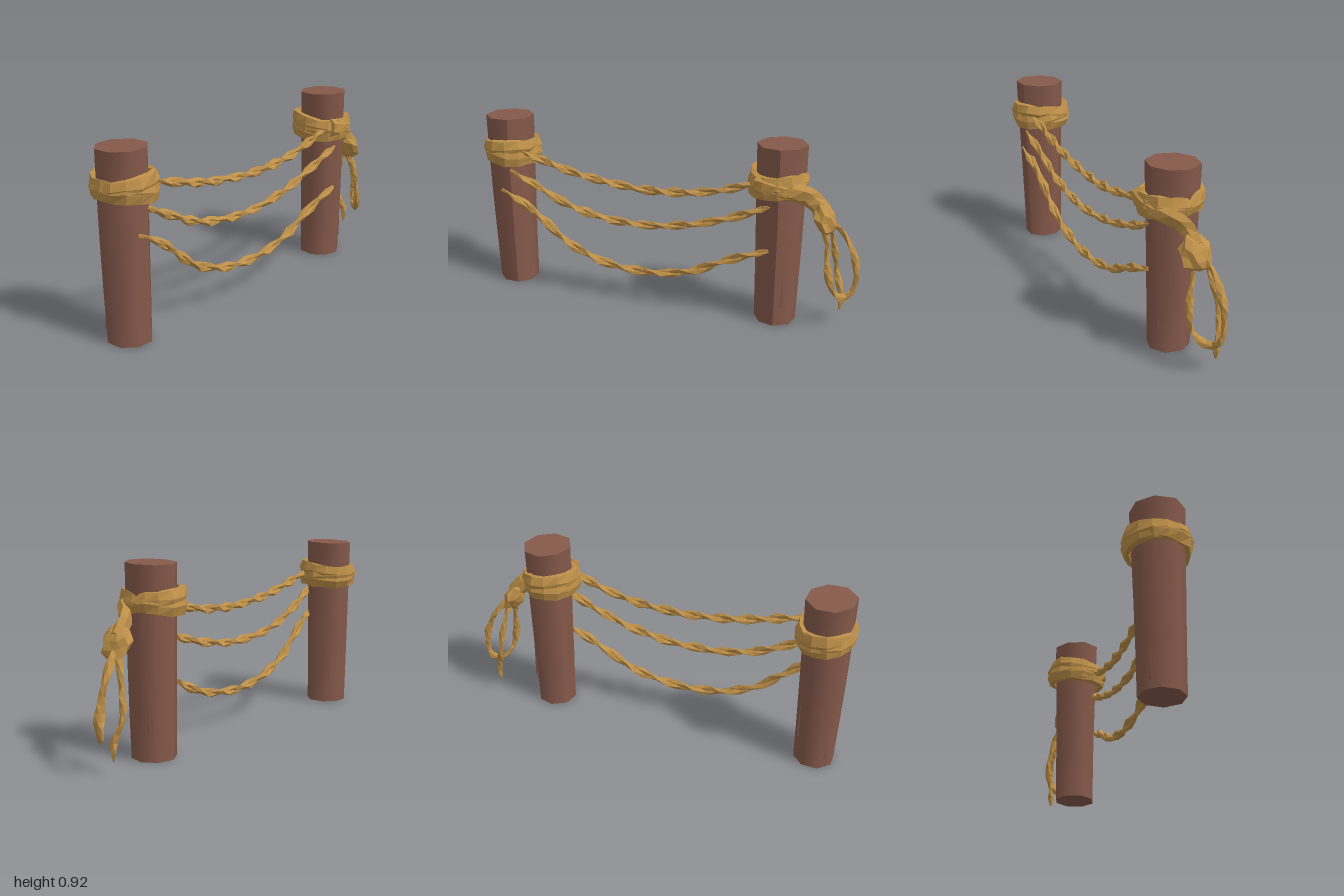
import * as THREE from 'three';

const V = (x, y, z) => new THREE.Vector3(x, y, z);
const spline = (pts, closed = false) => new THREE.CatmullRomCurve3(pts.map(p => V(...p)), closed);

export function createModel() {
  const wood = new THREE.MeshStandardMaterial({ color: 0x85594a });
  wood.name = 'brown wood';
  const hemp = new THREE.MeshStandardMaterial({ color: 0xbd8f48, flatShading: true });
  hemp.name = 'golden rope';

  const model = new THREE.Group();
  let seed = 7;
  const jitter = a => {
    seed = (seed * 16807) % 2147483647;
    return (seed / 2147483647 - 0.5) * 2 * a;
  };
  const add = (parent, geometry, material, name) => {
    const mesh = new THREE.Mesh(geometry, material);
    mesh.name = name;
    parent.add(mesh);
    return mesh;
  };

  // Sweeps an elliptical section along a curve: twists, taper, jitter, and an offset for winding strands
  function sweep(curve, o) {
    const { n, sides = 5, w, h, twists = 0, phase = 0, offset = 0, rough = 0, closed = false, up = V(0, 0, 1), taper = () => 1 } = o;
    const pos = [], index = [], rows = closed ? n : n + 1;
    for (let i = 0; i < rows; i++) {
      const t = i / n, p = curve.getPointAt(t), tan = curve.getTangentAt(t);
      const side = up.clone().cross(tan).normalize(), nor = tan.clone().cross(side);
      const turn = t * twists * Math.PI * 2 + phase, k = taper(t);
      p.addScaledVector(side, Math.cos(turn) * offset * k).addScaledVector(nor, Math.sin(turn) * offset * k);
      for (let j = 0; j < sides; j++) {
        const a = (j / sides) * Math.PI * 2, u = Math.cos(a) * w * k, v = Math.sin(a) * h * k;
        const q = p.clone()
          .addScaledVector(side, u * Math.cos(turn) - v * Math.sin(turn) + jitter(rough))
          .addScaledVector(nor, u * Math.sin(turn) + v * Math.cos(turn) + jitter(rough));
        pos.push(q.x, q.y, q.z);
      }
    }
    for (let i = 0; i < n; i++) for (let j = 0; j < sides; j++) {
      const r = ((i + 1) % rows) * sides, k = (j + 1) % sides;
      const a = i * sides + j, b = i * sides + k, c = r + k, d = r + j;
      index.push(a, b, d, b, c, d);
    }
    if (!closed) for (let j = 1; j < sides - 1; j++) {
      const e = n * sides;
      index.push(0, j + 1, j, e, e + j, e + j + 1);
    }
    const g = new THREE.BufferGeometry();
    g.setAttribute('position', new THREE.Float32BufferAttribute(pos, 3));
    g.setIndex(index);
    g.computeVertexNormals();
    return g;
  }

  // Eight-sided posts, wider at the top, with split slivers of wood
  function post(name, x, lean, turn) {
    const g = new THREE.Group();
    g.name = name;
    const body = new THREE.CylinderGeometry(0.122, 0.107, 0.92, 8, 4);
    body.rotateY(turn).translate(0, 0.46, 0);
    const p = body.attributes.position;
    for (let i = 0; i < p.count; i++) {
      const y = p.getY(i), a = Math.atan2(p.getZ(i), p.getX(i));
      const s = 1 + 0.025 * Math.sin(2 * a + y * 3);
      p.setX(i, p.getX(i) * s * 0.98 + lean * Math.sin(y * 3));
      p.setZ(i, p.getZ(i) * s * (1 + 0.05 * y));
      if (y > 0.9) p.setY(i, y + p.getZ(i) * 0.03);
    }
    body.computeVertexNormals();
    add(g, body, wood, 'postBody');
    [[0.5, 0.3, 0.4], [2.2, 0.42, 0.55], [3.9, 0.2, 0.3], [5.1, 0.45, 0.4]].forEach(([a, y, len]) => {
      const s = add(g, new THREE.ConeGeometry(0.016, len, 3), wood, 'splitSliver');
      s.position.set(Math.sin(a) * 0.099 + lean * Math.sin(y * 3), y, Math.cos(a) * 0.1);
      s.rotation.y = a;
      s.scale.z = 0.55;
    });
    g.position.x = x;
    model.add(g);
  }
  post('leftEndPost', -0.86, -0.004, Math.PI / 8);
  post('rightEndPost', 0.593, 0.003, 0.15);

  // Rough rope coils wrapped round each post
  function wrap(name, x, flip) {
    const g = new THREE.Group();
    g.name = name;
    [[0.752, 0.022, 0.046, 0.4], [0.728, -0.018, 0.046, 2.2], [0.738, 0.012, 0.052, 4]].forEach(([y, tilt, half, a0], k) => {
      const pts = [];
      for (let i = 0; i < 12; i++) {
        const a = (i / 12) * Math.PI * 2;
        pts.push([Math.cos(a) * 0.122, y + tilt * Math.sin(a + a0) * flip, Math.sin(a) * 0.14]);
      }
      add(g, sweep(spline(pts, true), {
        n: 14, sides: 6, w: 0.023, h: half, rough: 0.006, closed: true, up: V(0, 1, 0),
      }), hemp, 'coil' + (k + 1));
    });
    g.position.x = x;
    model.add(g);
  }
  wrap('leftEndWrap', -0.855, 1);
  wrap('rightEndWrap', 0.58, -1);

  // Three sagging ropes, each of two strands wound together
  const ropes = {
    upperRope: [[-0.76, 0.755, 0.09], [-0.7, 0.735, 0.085], [-0.4, 0.66, 0.08], [-0.05, 0.628, 0.08], [0.25, 0.66, 0.08], [0.44, 0.72, 0.085], [0.52, 0.755, 0.09]],
    middleRope: [[-0.82, 0.65, 0.108], [-0.7, 0.585, 0.092], [-0.45, 0.475, 0.085], [-0.1, 0.437, 0.085], [0.2, 0.485, 0.085], [0.45, 0.575, 0.09], [0.57, 0.635, 0.104]],
    lowerRope: [[-0.88, 0.535, 0.108], [-0.74, 0.46, 0.094], [-0.5, 0.27, 0.085], [-0.3, 0.195, 0.085], [-0.08, 0.177, 0.085], [0.15, 0.215, 0.085], [0.38, 0.325, 0.09], [0.57, 0.4, 0.102]],
  };
  for (const [name, pts] of Object.entries(ropes)) {
    const g = new THREE.Group();
    g.name = name;
    for (let s = 0; s < 2; s++) add(g, sweep(spline(pts), {
      n: 32, sides: 4, w: 0.015, h: 0.012, offset: 0.01, twists: 4.5, phase: s * Math.PI, rough: 0.003,
      taper: t => Math.min(1, 0.35 + 12 * Math.min(t, 1 - t)),
    }), hemp, 'strand' + (s + 1));
    model.add(g);
  }

  // Loose end: thick band off the wrap, knot, hanging loop and frayed tip
  const tie = new THREE.Group();
  tie.name = 'looseTie';
  model.add(tie);
  add(tie, sweep(spline([[0.5, 0.75, 0.125], [0.6, 0.735, 0.135], [0.69, 0.71, 0.08], [0.745, 0.67, 0.02], [0.81, 0.6, 0.01]]), {
    n: 9, sides: 6, w: 0.045, h: 0.03, rough: 0.005, up: V(0.3, 0, 1),
  }), hemp, 'tieBand');

  const knot = new THREE.IcosahedronGeometry(1, 1);
  const kp = knot.attributes.position;
  for (let i = 0; i < kp.count; i++) {
    const x = kp.getX(i), y = kp.getY(i), z = kp.getZ(i);
    const s = 1 + 0.17 * Math.sin(5 * x + 3 * y) * Math.cos(4 * z + y);
    kp.setXYZ(i, x * s, y * s, z * s);
  }
  knot.scale(0.047, 0.088, 0.076).rotateZ(0.45).translate(0.815, 0.575, 0.008);
  knot.computeVertexNormals();
  add(tie, knot, hemp, 'knot');

  add(tie, sweep(spline([
    [0.82, 0.56, 0.01], [0.842, 0.45, 0.04], [0.86, 0.3, 0.06], [0.885, 0.21, 0.05], [0.925, 0.16, 0],
    [0.965, 0.18, -0.035], [0.983, 0.26, -0.042], [0.95, 0.41, -0.045], [0.895, 0.5, -0.035], [0.83, 0.56, -0.01],
  ]), { n: 24, sides: 4, w: 0.02, h: 0.012, twists: 2, rough: 0.003, up: V(1, 0, 1).normalize() }), hemp, 'hangingLoop');

  add(tie, sweep(spline([[0.83, 0.56, -0.02], [0.86, 0.41, -0.065], [0.88, 0.25, -0.088], [0.912, 0.15, -0.06], [0.91, 0.065, -0.06]]), {
    n: 12, sides: 4, w: 0.019, h: 0.012, twists: 1.5, rough: 0.002, up: V(1, 0, 1).normalize(),
    taper: t => (t > 0.95 ? 0.3 : 1),
  }), hemp, 'tailEnd');

  return model;
}
